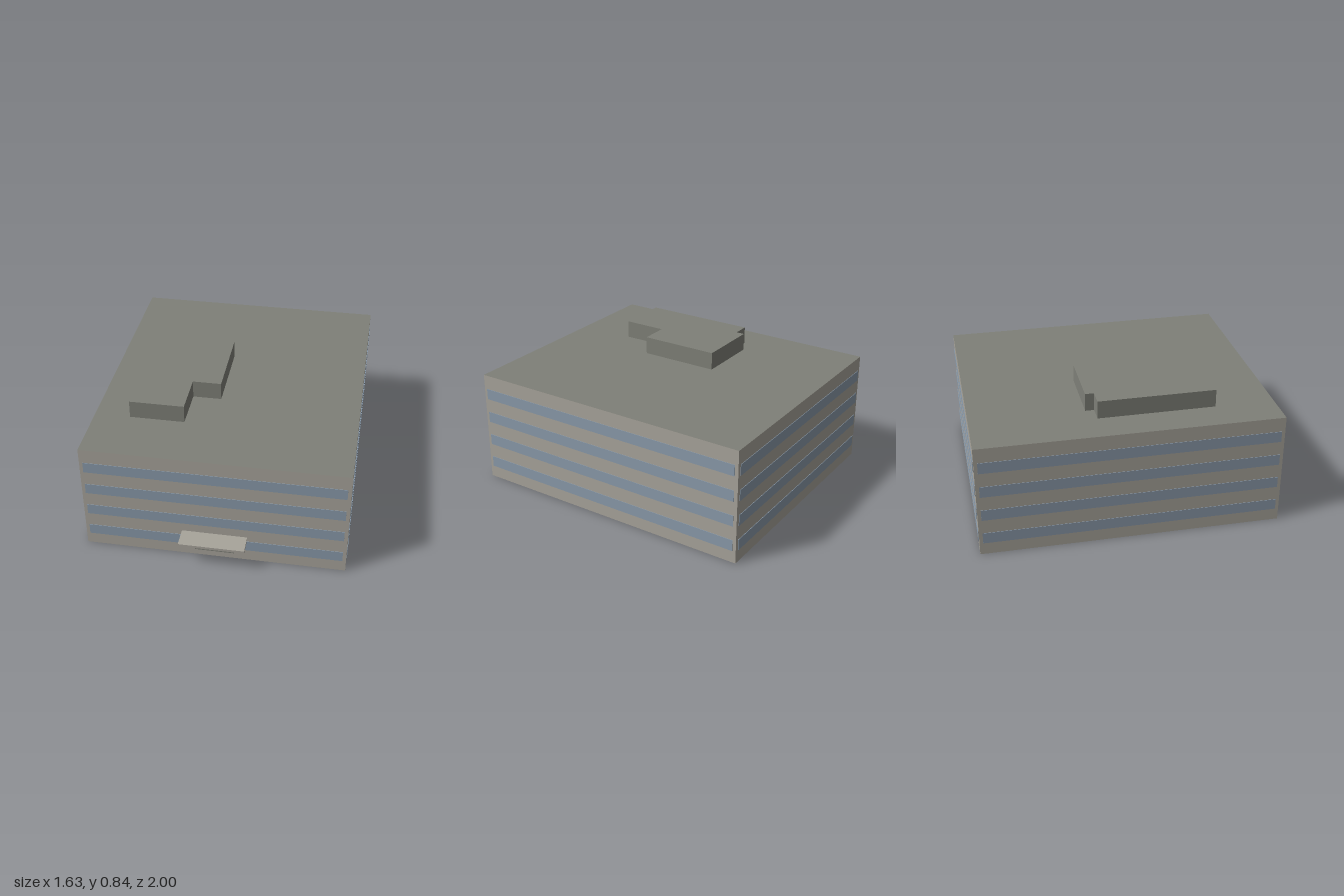
import * as THREE from 'three';

const material = (name, color, side = THREE.FrontSide) => {
  const m = new THREE.MeshStandardMaterial({ color, side });
  m.name = name;
  return m;
};

// Footprint corners [x, z], walked front, right, back, left
const FOOTPRINT = [[-0.814, 0.875], [0.81, 0.875], [0.81, -1], [-0.802, -1]];
const HEIGHT = 0.73;
const BANDS = [0.115, 0.278, 0.44, 0.602]; // window band centre heights
const BAND_HEIGHT = 0.071;

// Flat outline [x, z] as a shape that lies level once rotated
const outline = (pts) => new THREE.Shape(pts.map(([x, z]) => new THREE.Vector2(x, -z)));

export function createModel() {
  const model = new THREE.Group();
  model.name = 'officeBlock';
  const wallMat = material('warm grey wall', 0xa8a49b, THREE.DoubleSide);
  const roofMat = material('dark grey roof', 0x7f8078, THREE.DoubleSide);
  const glassMat = material('blue grey glass', 0x8a9aaa);

  const add = (parent, name, geometry, mat, x = 0, y = 0, z = 0) => {
    const mesh = new THREE.Mesh(geometry, mat);
    mesh.name = name;
    mesh.position.set(x, y, z);
    parent.add(mesh);
    return mesh;
  };

  // Four open-bottomed walls, each with its window bands
  ['front', 'right', 'back', 'left'].forEach((side, i) => {
    const [x0, z0] = FOOTPRINT[i];
    const [x1, z1] = FOOTPRINT[(i + 1) % 4];
    const length = Math.hypot(x1 - x0, z1 - z0);
    const facade = new THREE.Group();
    facade.name = side + 'Facade';
    facade.position.set((x0 + x1) / 2, 0, (z0 + z1) / 2);
    facade.rotation.y = Math.atan2(z0 - z1, x1 - x0);
    add(facade, 'wall', new THREE.PlaneGeometry(length, HEIGHT), wallMat, 0, HEIGHT / 2, 0);
    for (const y of BANDS) {
      add(facade, 'windowBand', new THREE.BoxGeometry(length - 0.044, BAND_HEIGHT, 0.003), glassMat, 0, y, 0.0025);
    }
    model.add(facade);
  });

  // Flat roof
  add(model, 'roof', new THREE.ShapeGeometry(outline(FOOTPRINT)).rotateX(-Math.PI / 2), roofMat, 0, HEIGHT, 0);

  // Stepped plant room on the roof
  const plantRoom = outline([
    [-0.59, 0.5], [-0.248, 0.5], [-0.248, 0.22], [-0.068, 0.22],
    [-0.068, -0.29], [-0.48, -0.29], [-0.48, -0.235], [-0.59, -0.235],
  ]);
  add(model, 'plantRoom',
    new THREE.ExtrudeGeometry(plantRoom, { depth: 0.114, bevelEnabled: false }).rotateX(-Math.PI / 2),
    roofMat, 0, HEIGHT, 0);

  // Entrance door and canopy
  add(model, 'door', new THREE.BoxGeometry(0.244, 0.113, 0.007), roofMat, 0, 0.102, 0.8795);
  add(model, 'canopy', new THREE.BoxGeometry(0.406, 0.017, 0.125), wallMat, 0, 0.174, 0.9375);

  return model;
}
